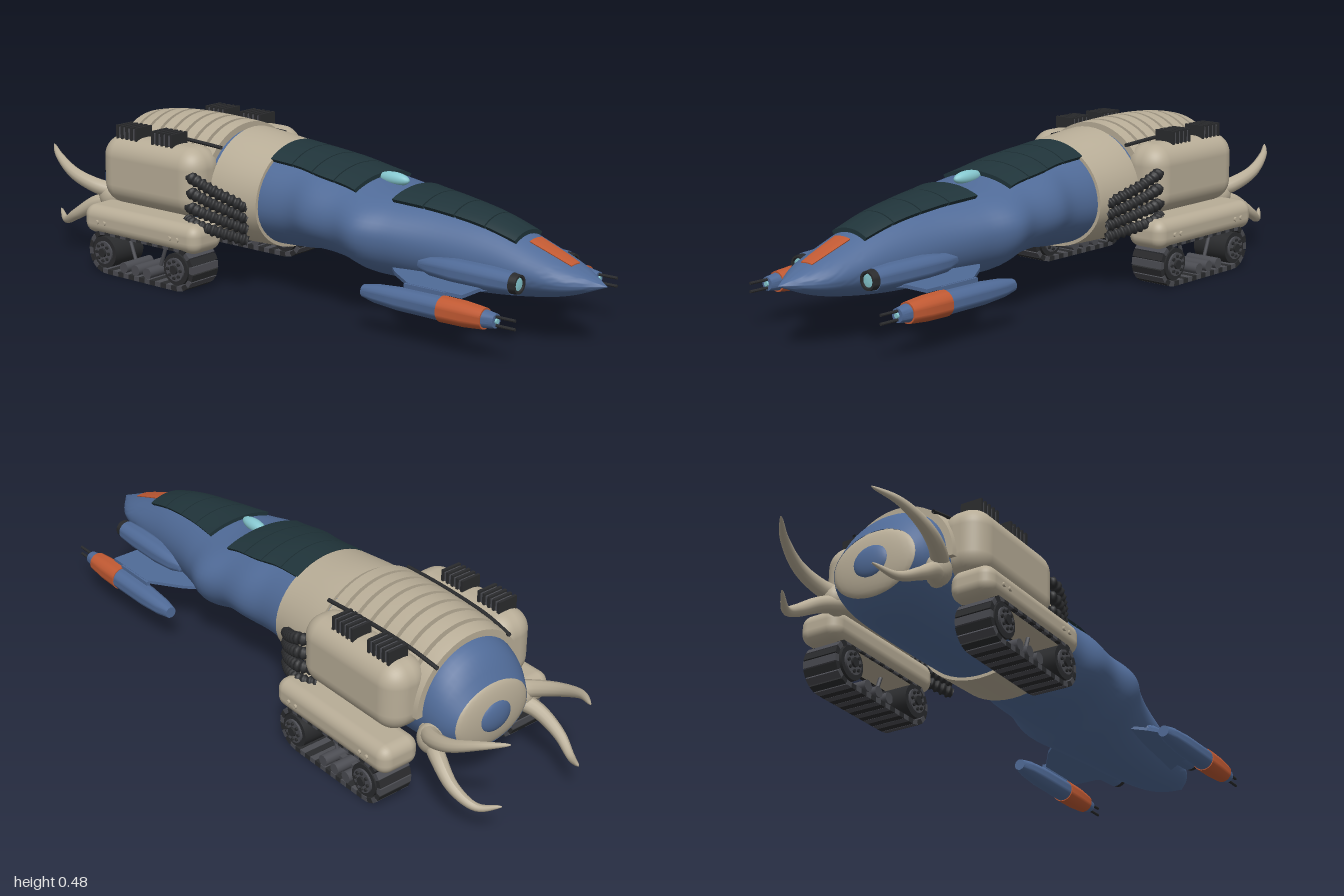
import * as THREE from 'three';
import { toCreasedNormals } from 'three/addons/utils/BufferGeometryUtils.js';
import { RoundedBoxGeometry } from 'three/addons/geometries/RoundedBoxGeometry.js';

const mat = (color) => new THREE.MeshStandardMaterial({ color, side: THREE.DoubleSide });

// Hull stations along x: [x, top, bottom, height of widest point, half width]
const STATIONS = [
  [-0.78, 0.35, 0.15, 0.25, 0.135], [-0.74, 0.41, 0.125, 0.26, 0.16], [-0.68, 0.445, 0.11, 0.27, 0.175],
  [-0.5, 0.465, 0.11, 0.27, 0.185], [-0.25, 0.455, 0.125, 0.27, 0.195], [-0.08, 0.435, 0.13, 0.27, 0.19],
  [0.02, 0.425, 0.135, 0.27, 0.187], [0.1, 0.412, 0.145, 0.27, 0.205], [0.2, 0.393, 0.135, 0.265, 0.202],
  [0.29, 0.372, 0.112, 0.26, 0.218], [0.38, 0.363, 0.105, 0.25, 0.185], [0.5, 0.352, 0.105, 0.235, 0.15],
  [0.65, 0.326, 0.11, 0.215, 0.122], [0.8, 0.274, 0.128, 0.2, 0.1], [0.9, 0.235, 0.15, 0.193, 0.074], [1, 0.191, 0.189, 0.19, 0.001],
];

// Smooth interpolation between stations
function section(x) {
  const S = STATIONS, n = S.length;
  let i = 0;
  while (i < n - 2 && x > S[i + 1][0]) i++;
  const h = S[i + 1][0] - S[i][0], u = (x - S[i][0]) / h;
  const slope = (k, c) => {
    const a = S[Math.max(k - 1, 0)], b = S[Math.min(k + 1, n - 1)];
    return (b[c] - a[c]) / (b[0] - a[0]);
  };
  return [1, 2, 3, 4].map((c) =>
    (1 + 2 * u) * (1 - u) ** 2 * S[i][c] + u * (1 - u) ** 2 * h * slope(i, c) +
    u * u * (3 - 2 * u) * S[i + 1][c] + u * u * (u - 1) * h * slope(i + 1, c));
}

function hullPoint(x, t, off) {
  const [top, bottom, mid, w] = section(x), c = Math.cos(t);
  return [x, mid + ((c > 0 ? top - mid : mid - bottom) + off) * c, (w + off) * Math.sin(t)];
}

// Plate following the hull, raised by off, with rims dropping into the hull
function plate(x0, x1, halfAngle, off, nx = 6, nt = 24) {
  const pos = [], idx = [], rows = nx + 2, cols = nt + 2, rim = off > 0;
  for (let i = 0; i <= rows; i++) for (let j = 0; j <= cols; j++) {
    const u = THREE.MathUtils.clamp((i - 1) / nx, 0, 1), v = THREE.MathUtils.clamp((j - 1) / nt, 0, 1);
    const edge = rim && (i === 0 || i === rows || ((j === 0 || j === cols) && halfAngle < 3.1));
    pos.push(...hullPoint(x0 + (x1 - x0) * u, (2 * v - 1) * halfAngle, edge ? -0.008 : off));
    if (i < rows && j < cols) {
      const a = i * (cols + 1) + j, c = a + cols + 1;
      idx.push(a, a + 1, c, a + 1, c + 1, c);
    }
  }
  const g = new THREE.BufferGeometry();
  g.setAttribute('position', new THREE.Float32BufferAttribute(pos, 3));
  g.setIndex(idx);
  return toCreasedNormals(g, 0.7);
}

// Solid of revolution along x from [x, radius] pairs
function turned(pairs, sides = 24) {
  const g = new THREE.LatheGeometry(pairs.map(([x, r]) => new THREE.Vector2(r, x)), sides);
  return toCreasedNormals(g.rotateZ(-Math.PI / 2), 0.6);
}

// Tube whose radius varies along the path
function tube(points, radius, n = 32, sides = 12) {
  const path = new THREE.CatmullRomCurve3(points.map((p) => new THREE.Vector3(...p)));
  const g = new THREE.TubeGeometry(path, n, 1, sides), p = g.attributes.position, v = new THREE.Vector3();
  for (let k = 0; k < p.count; k++) {
    const u = Math.floor(k / (sides + 1)) / n, c = path.getPointAt(u);
    v.fromBufferAttribute(p, k).sub(c).multiplyScalar(radius(u)).add(c);
    p.setXYZ(k, v.x, v.y, v.z);
  }
  g.computeVertexNormals();
  return g;
}

export function createModel() {
  const model = new THREE.Group();
  const blue = mat(0x506b98), bone = mat(0xb8ad97), orange = mat(0xc25a33), cyan = mat(0x86c8d0);
  const black = mat(0x2a2b2d), grey = mat(0x4b4c52), glass = mat(0x20343a);
  const add = (name, geo, m, x = 0, y = 0, z = 0) => {
    const mesh = new THREE.Mesh(geo, m);
    mesh.name = name;
    mesh.position.set(x, y, z);
    model.add(mesh);
    return mesh;
  };
  const ball = (name, m, pos, scale) => add(name, new THREE.SphereGeometry(1, 24, 16), m, ...pos).scale.set(...scale);

  // Hull, rear cap and collar
  add('hull', plate(-0.78, 1, Math.PI, 0, 100, 48), blue);
  ball('rearPlate', bone, [-0.775, 0.25, 0], [0.025, 0.1, 0.137]);
  ball('rearPort', blue, [-0.79, 0.25, 0], [0.02, 0.05, 0.06]);
  add('collar', plate(-0.26, -0.08, Math.PI, 0.01, 8, 48), bone);

  // Ribs over the back
  for (let i = 0; i < 8; i++) {
    const x = -0.69 + i * 0.053;
    add('rib', plate(x, x + 0.04, 1.6, 0.02, 3, 32), bone);
  }

  // Canopies in panels, beacon and nose patch
  const panels = (name, x0, x1, n, angle) => {
    const d = (x1 - x0) / n;
    for (let i = 0; i < n; i++) add(name, plate(x0 + i * d, x0 + (i + 1) * d - 0.004, angle, 0.012, 5, 16), glass);
  };
  panels('rearCanopy', -0.085, 0.245, 4, 0.66);
  panels('frontCanopy', 0.36, 0.75, 4, 0.6);
  ball('beacon', cyan, [0.28, 0.382, 0], [0.055, 0.02, 0.02]);
  add('nosePatch', plate(0.77, 0.9, 0.29, 0.003, 4, 8), orange);

  for (const s of [1, -1]) {
    // Cable along the ribs
    const cable = [-0.7, -0.6, -0.45, -0.35, -0.26].map((x) => hullPoint(x, s * 0.75, 0.024));
    add('ribCable', tube(cable, () => 0.006, 20, 8), black);

    // Engine pod with finned vents, and track housing
    add('enginePod', new RoundedBoxGeometry(0.41, 0.215, 0.15, 5, 0.065), bone, -0.47, 0.32, s * 0.195);
    add('trackHousing', new RoundedBoxGeometry(0.48, 0.09, 0.135, 4, 0.035), bone, -0.46, 0.167, s * 0.25);
    for (const x of [-0.575, -0.425]) {
      add('vent', new THREE.BoxGeometry(0.085, 0.04, 0.06), grey, x, 0.435, s * 0.203);
      for (let i = 0; i < 5; i++)
        add('ventFin', new THREE.BoxGeometry(0.009, 0.05, 0.068), black, x - 0.04 + i * 0.02, 0.436, s * 0.203);
    }
    for (const x of [-0.63, -0.6, -0.32, -0.29])
      add('housingBolt', new THREE.CylinderGeometry(0.007, 0.007, 0.01, 8).rotateX(Math.PI / 2), bone, x, 0.165, s * 0.319);

    // Ribbed hoses
    for (let i = 0; i < 4; i++) {
      const y = 0.345 - i * 0.046, e = 0.265 - i * 0.033;
      const pts = [[-0.32, y, s * 0.235], [-0.27, y - 0.003, s * 0.258], [-0.2, (y + e) / 2 + 0.005, s * 0.24], [-0.12, e, s * 0.19]];
      add('hose', tube(pts, (u) => 0.0165 + 0.003 * Math.sin(u * 75), 72, 10), black);
    }

    // Track links around the loop
    const loop = new THREE.Shape();
    loop.absarc(-0.61, 0.07, 0.062, Math.PI / 2, Math.PI * 1.5);
    loop.absarc(-0.305, 0.07, 0.062, -Math.PI / 2, Math.PI / 2);
    loop.closePath();
    const pts = loop.getSpacedPoints(44);
    for (let i = 0; i < 44; i++) {
      const a = pts[i], b = pts[i + 1], len = a.distanceTo(b);
      const link = add('trackLink', new THREE.BoxGeometry(len * 0.95, 0.015, 0.112), i % 2 ? black : grey, (a.x + b.x) / 2, (a.y + b.y) / 2, s * 0.252);
      link.rotation.z = Math.atan2(b.y - a.y, b.x - a.x);
    }

    // Wheels, rollers and struts
    const wheel = (name, x, y, r, w, m) =>
      add(name, new THREE.CylinderGeometry(r, r, w, 24).rotateX(Math.PI / 2), m, x, y, s * 0.25);
    for (const x of [-0.61, -0.305]) {
      wheel('driveWheel', x, 0.07, 0.05, 0.12, black);
      wheel('wheelDisc', x, 0.07, 0.036, 0.132, grey);
      wheel('wheelHub', x, 0.07, 0.014, 0.146, black);
      for (let k = 0; k < 8; k++) {
        const a = k * Math.PI / 4;
        wheel('wheelBolt', x + 0.026 * Math.cos(a), 0.07 + 0.026 * Math.sin(a), 0.005, 0.142, black);
      }
    }
    for (const x of [-0.53, -0.48, -0.43]) wheel('roller', x, 0.033, 0.017, 0.115, grey);
    for (const d of [-1, 1]) {
      const line = [[-0.48 + d * 0.085, 0.13, s * 0.25], [-0.48 + d * 0.05, 0.035, s * 0.25]];
      add('strut', tube(line, () => 0.006, 2, 8), grey);
    }
    add('rollerBar', new THREE.BoxGeometry(0.1, 0.01, 0.02), grey, -0.48, 0.033, s * 0.25);

    // Tusks at the rear
    const taper = (u) => 0.026 * (1 - u) ** 0.65 + 0.002;
    add('upperTusk', tube([[-0.7, 0.22, s * 0.16], [-0.76, 0.24, s * 0.195], [-0.84, 0.27, s * 0.21], [-0.93, 0.31, s * 0.19], [-1, 0.333, s * 0.148]], taper), bone);
    add('lowerTusk', tube([[-0.7, 0.2, s * 0.15], [-0.77, 0.18, s * 0.185], [-0.85, 0.132, s * 0.2], [-0.92, 0.1, s * 0.18], [-0.98, 0.12, s * 0.145]], taper), bone);
    ball('tuskSocket', bone, [-0.72, 0.21, s * 0.17], [0.04, 0.045, 0.035]);

    // Fin carrying the gun
    const fin = new THREE.Shape();
    [[0.36, 0.12], [0.42, 0.18], [0.52, 0.25], [0.7, 0.25], [0.7, 0.16], [0.76, 0.08]].forEach(([x, z], i) => (i ? fin.lineTo(x, z * s) : fin.moveTo(x, z * s)));
    add('fin', new THREE.ExtrudeGeometry(fin, { depth: 0.01, bevelEnabled: false }).rotateX(Math.PI / 2), blue, 0, 0.168, 0);
    add('gunPylon', new THREE.BoxGeometry(0.14, 0.03, 0.012), blue, 0.58, 0.152, s * 0.25);

    // Gun with orange sleeve and twin barrels
    const gun = (name, pairs, m) => add(name, turned(pairs), m, 0, 0.122, s * 0.26);
    gun('gunBody', [[0.375, 0], [0.375, 0.018], [0.42, 0.027], [0.5, 0.033], [0.645, 0.034], [0.645, 0]], blue);
    gun('gunSleeve', [[0.645, 0], [0.645, 0.037], [0.72, 0.036], [0.785, 0.03], [0.785, 0]], orange);
    gun('gunTip', [[0.78, 0], [0.78, 0.026], [0.82, 0.02], [0.82, 0]], blue);
    gun('gunLens', [[0.815, 0], [0.815, 0.009], [0.825, 0.007], [0.826, 0]], cyan);
    for (const d of [-1, 1])
      add('barrel', turned([[0.8, 0], [0.8, 0.0045], [0.88, 0.0045], [0.88, 0]], 8), black, 0, 0.122 + d * 0.012, s * 0.26);

    // Headlight pod
    const lamp = (name, pairs, m) => add(name, turned(pairs), m, 0, 0.193, s * 0.138);
    lamp('lampPod', [[0.47, 0], [0.48, 0.016], [0.52, 0.028], [0.6, 0.035], [0.72, 0.035], [0.79, 0.031], [0.79, 0]], blue);
    lamp('lampRim', [[0.785, 0], [0.785, 0.03], [0.812, 0.027], [0.812, 0.021], [0.8, 0.02], [0.8, 0]], black);
    lamp('lampLens', [[0.795, 0], [0.795, 0.021], [0.808, 0.018], [0.811, 0]], cyan);
  }
  return model;
}
